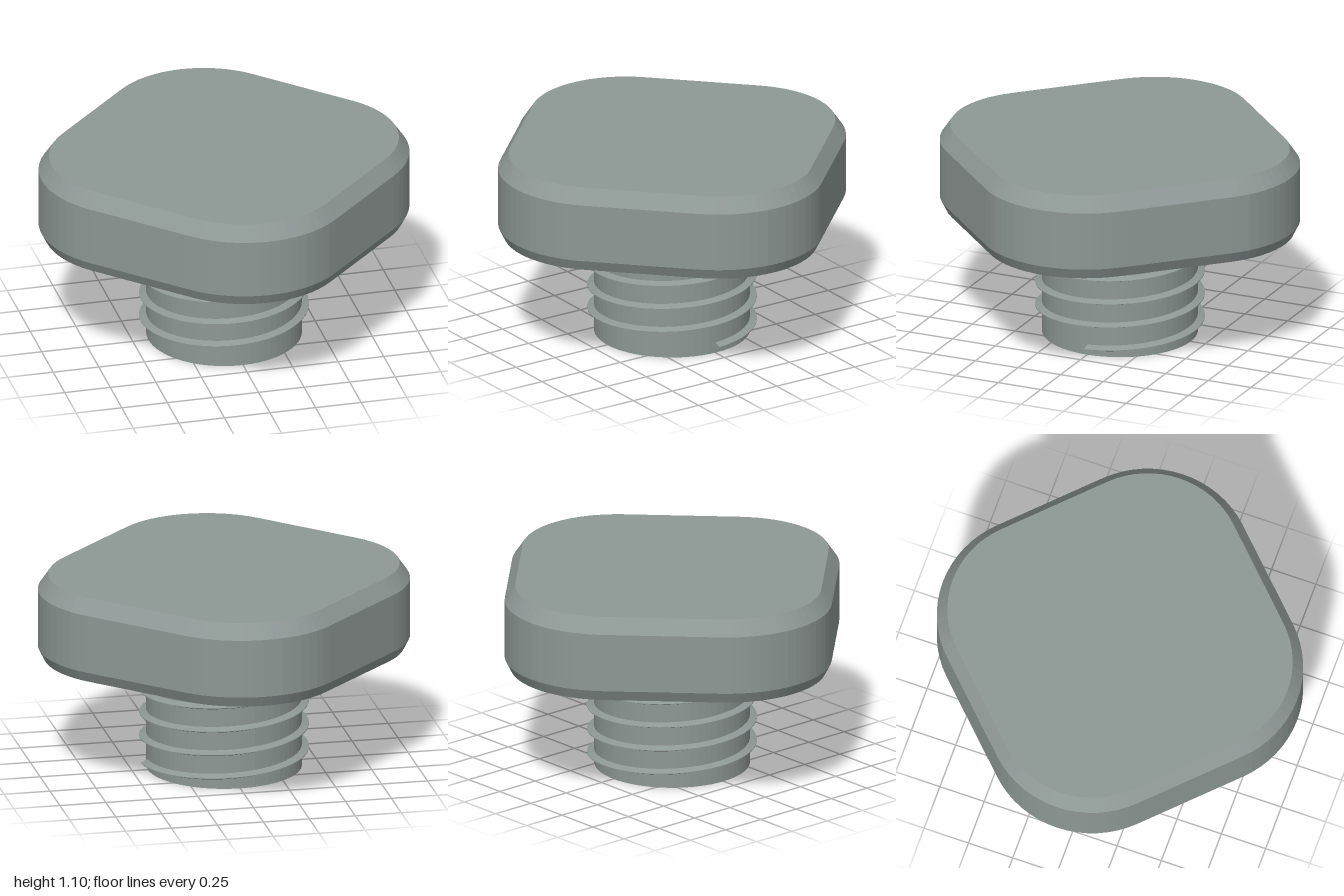
import * as THREE from 'three';

const material = new THREE.MeshStandardMaterial({ color: 0x8e9895, flatShading: true });

// Skin a grid of points: rows[i][j], skipping collapsed triangles
function skin(rows) {
  const pos = [];
  const tri = (a, b, c) => {
    if (a.distanceTo(b) < 1e-6 || b.distanceTo(c) < 1e-6 || c.distanceTo(a) < 1e-6) return;
    for (const p of [a, b, c]) pos.push(p.x, p.y, p.z);
  };
  for (let i = 0; i < rows.length - 1; i++) {
    for (let j = 0; j < rows[i].length - 1; j++) {
      const a = rows[i][j], b = rows[i][j + 1], c = rows[i + 1][j], d = rows[i + 1][j + 1];
      tri(a, b, c);
      tri(b, d, c);
    }
  }
  const geometry = new THREE.BufferGeometry();
  geometry.setAttribute('position', new THREE.Float32BufferAttribute(pos, 3));
  geometry.computeVertexNormals();
  return geometry;
}

// Ring of four corner arcs on the axes; with centre 0 it is a plain circle
function ring(centre, radius, y) {
  const steps = 16, points = [];
  for (let k = 0; k < 4; k++) {
    const axis = k * Math.PI / 2;
    for (let i = 0; i <= steps; i++) {
      const a = axis + (i / steps - 0.5) * Math.PI / 2;
      points.push(new THREE.Vector3(
        centre * Math.cos(axis) + radius * Math.cos(a), y,
        centre * Math.sin(axis) + radius * Math.sin(a)));
    }
  }
  points.push(points[0].clone());
  return points;
}

// Chamfered head with a round hollow in its underside
function headGeometry() {
  const c = 0.44, r = 0.56;
  return skin([
    ring(0, 0, 1.10),
    ring(c, r - 0.056, 1.10),
    ring(c, r, 1.018),
    ring(c, r, 0.70),
    ring(c, r - 0.03, 0.64),
    ring(0, 0.805, 0.64),
    ring(0, 0.805, 0.87),
    ring(0, 0, 0.87),
  ]);
}

// Helical ridge of four turns, closed at both ends
function threadGeometry() {
  const turns = 4, pitch = 0.131, start = 0.042, steps = turns * 64;
  const at = (r, y, t) => {
    const a = t * turns * Math.PI * 2;
    return new THREE.Vector3(r * Math.cos(a), start + y + t * turns * pitch, -r * Math.sin(a));
  };
  const profile = [[0.4, -0.022], [0.452, -0.002], [0.452, 0.002], [0.4, 0.022]];
  return skin(profile.map(([r, y]) => {
    const row = [at(0.41, 0, 0)];
    for (let i = 0; i <= steps; i++) row.push(at(r, y, i / steps));
    row.push(at(0.41, 0, 1));
    return row;
  }));
}

export function createModel() {
  const model = new THREE.Group();
  model.name = 'threadedPlug';
  const add = (name, geometry, y = 0) => {
    const mesh = new THREE.Mesh(geometry, material);
    mesh.name = name;
    mesh.position.y = y;
    model.add(mesh);
  };
  const cylinder = (r, h) => new THREE.CylinderGeometry(r, r, h, 64);

  add('head', headGeometry());
  // Round boss inside the hollow, and the shaft below it
  add('boss', cylinder(0.63, 0.24), 0.76);
  add('shaft', cylinder(0.415, 0.66), 0.33);
  add('thread', threadGeometry());
  return model;
}
